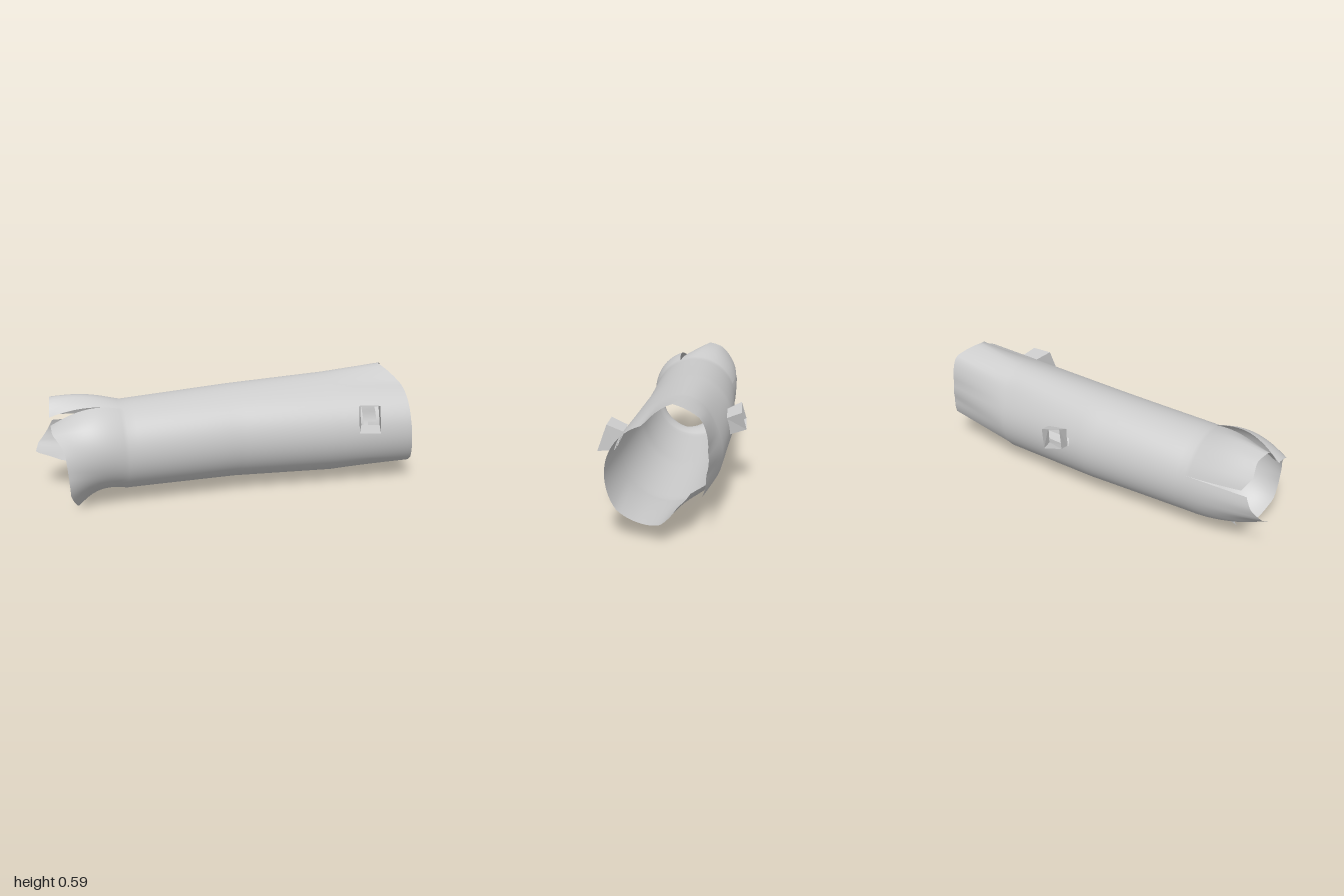
import * as THREE from 'three';
import { mergeVertices } from 'three/addons/utils/BufferGeometryUtils.js';

const CY = 0.285, CZ = 0.01, STEP = 5;
const { lerp, degToRad } = THREE.MathUtils;
const cosDeg = deg => Math.cos(degToRad(deg));

// point on the shell: angle in degrees, from the front (+z) towards the top
const polar = (deg, r, x) => {
  const a = degToRad((deg + 720) % 360);
  return [x, CY + r * Math.sin(a), CZ + r * Math.cos(a)];
};

// round sections, each swelling towards one angle, with a ridge along the upper back
const LEFT = { x: -0.57, r: 0.227, swell: 0.008, toward: 320, ridge: 0 };
const MIDDLE = { x: 0, r: 0.236, swell: 0.02, toward: 172, ridge: 0.012 };
const RIGHT = { x: 0.53, r: 0.241, swell: 0.006, toward: 220, ridge: 0.042 };
const radius = (ring, deg) => {
  const d = ((deg + 720) % 360 - 110) / 28;
  return ring.r + ring.swell * cosDeg(deg - ring.toward) + ring.ridge * Math.exp(-d * d);
};

// torn strips: root and tip angles, bulge between them, tip edge as radius and x
const FRONT_STRIP = {
  ring: LEFT, root: [-130, 65], tip: [-125, 66], bulge: 0.035, toward: 55, ease: 2,
  r: [.21, .21, .305, .28, .24, .22, .19, .15],
  x: [-.83, -.76, -.815, -.86, -.87, -.88, -.93, -.93],
};
const TOP_STRIP = {
  ring: LEFT, root: [65, 160], tip: [82, 152], bulge: 0.022, toward: 100, ease: 1.5,
  r: [.17, .255, .26, .24, .23],
  x: [-.93, -.92, -.9, -.91, -.87],
};
const BACK_STRIP = {
  ring: LEFT, root: [160, 230], tip: [158, 222], bulge: 0, toward: 190, ease: 2,
  r: [.215, .21, .185, .14, .18],
  x: [-.9, -.93, -.98, -1, -.87],
};
const RIGHT_END = {
  ring: RIGHT, root: [-145, 215], tip: [-147, 206], bulge: 0, toward: 110, ease: 1,
  r: [.155, .155, .198, .23, .25, .25, .25, .245, .235, .305, .31, .235, .2, .205],
  x: [.9, .94, 1, .95, .94, .92, .91, .91, .91, .83, .9, .9, .91, .92],
};

// piecewise linear value along a list
const sample = (list, u) => {
  const k = u * (list.length - 1), i = Math.min(Math.floor(k), list.length - 2);
  return lerp(list[i], list[i + 1], k - i);
};

// openings in the wall behind the two ports
const inOpening = (x, y, z) =>
  (z > 0.1 && x > 0.64 && x < 0.73 && y > 0.35 && y < 0.43) ||
  (z < -0.1 && x > 0.11 && x < 0.21 && y > 0.3 && y < 0.36);

// skin rows of points (rows run towards +x) with triangles
function addGrid(out, rows) {
  for (let i = 0; i + 1 < rows.length; i++) {
    for (let j = 0; j + 1 < rows[i].length; j++) {
      const a = rows[i][j], b = rows[i + 1][j], c = rows[i + 1][j + 1], d = rows[i][j + 1];
      const mid = a.map((v, n) => (v + b[n] + c[n] + d[n]) / 4);
      if (!inOpening(...mid)) out.push(...a, ...b, ...c, ...a, ...c, ...d);
    }
  }
}

function addBand(out, A, B, count) {
  const rows = [];
  for (let k = 0; k <= count; k++) {
    const t = k / count, row = [];
    for (let deg = 0; deg <= 360; deg += STEP) {
      row.push(polar(deg, lerp(radius(A, deg), radius(B, deg), t), lerp(A.x, B.x, t)));
    }
    rows.push(row);
  }
  addGrid(out, rows);
}

function addStrip(out, strip) {
  const { ring, root, tip, bulge, toward, ease } = strip;
  const rows = [], count = 16, n = (root[1] - root[0]) / STEP;
  for (let k = 0; k <= count; k++) {
    const t = k / count, row = [];
    for (let j = 0; j <= n; j++) {
      const u = j / n, rootDeg = root[0] + j * STEP;
      const deg = lerp(rootDeg, lerp(tip[0], tip[1], u), t);
      const puff = bulge * cosDeg(rootDeg - toward) * Math.sin(Math.PI * t);
      const r = lerp(radius(ring, rootDeg), sample(strip.r, u), t ** ease) + puff;
      row.push(polar(deg, r, lerp(ring.x, sample(strip.x, u), t)));
    }
    rows.push(row);
  }
  if (ring === LEFT) rows.reverse();
  addGrid(out, rows);
}

const toGeometry = points => new THREE.BufferGeometry()
  .setAttribute('position', new THREE.Float32BufferAttribute(points, 3));

function shellGeometry() {
  const out = [];
  addBand(out, LEFT, MIDDLE, 12);
  addBand(out, MIDDLE, RIGHT, 12);
  for (const strip of [FRONT_STRIP, TOP_STRIP, BACK_STRIP, RIGHT_END]) addStrip(out, strip);
  const welded = mergeVertices(toGeometry(out), 1e-4);
  welded.computeVertexNormals();
  return welded;
}

// four corners around a point on the shell, turned by roll about the outward axis
function portLoop({ deg, r, x, width, height, roll }) {
  const [px, py, pz] = polar(deg, r, x);
  const a = degToRad(deg), c = cosDeg(roll), s = Math.sin(degToRad(roll));
  return [[-1, -1], [1, -1], [1, 1], [-1, 1]].map(([i, j]) => {
    const u = i * width / 2, v = j * height / 2;
    const along = u * c - v * s, up = u * s + v * c;
    return [px + along, py + up * Math.cos(a), pz - up * Math.sin(a)];
  });
}

// open four-sided duct from the wall to its rim
function portGeometry(baseSpec, rimSpec) {
  const base = portLoop(baseSpec), rim = portLoop(rimSpec), out = [];
  for (let i = 0; i < 4; i++) {
    const j = (i + 1) % 4;
    out.push(...base[i], ...base[j], ...rim[j], ...base[i], ...rim[j], ...rim[i]);
  }
  const g = toGeometry(out);
  g.computeVertexNormals();
  return g;
}

export function createModel() {
  const group = new THREE.Group();
  const add = (name, geometry, flatShading) => {
    const mesh = new THREE.Mesh(geometry, new THREE.MeshStandardMaterial({
      color: 0xcccccc, side: THREE.DoubleSide, flatShading,
    }));
    mesh.name = name;
    group.add(mesh);
  };
  add('tornHollowShell', shellGeometry(), false);
  // ports sticking out of the wall
  add('frontPort', portGeometry(
    { deg: 26, r: 0.235, x: 0.69, width: 0.1, height: 0.1, roll: -4 },
    { deg: 20, r: 0.315, x: 0.657, width: 0.115, height: 0.138, roll: -4 }), true);
  add('backPort', portGeometry(
    { deg: 168, r: 0.245, x: 0.165, width: 0.115, height: 0.09, roll: 10 },
    { deg: 166, r: 0.328, x: 0.145, width: 0.11, height: 0.1, roll: 17 }), true);
  return group;
}
